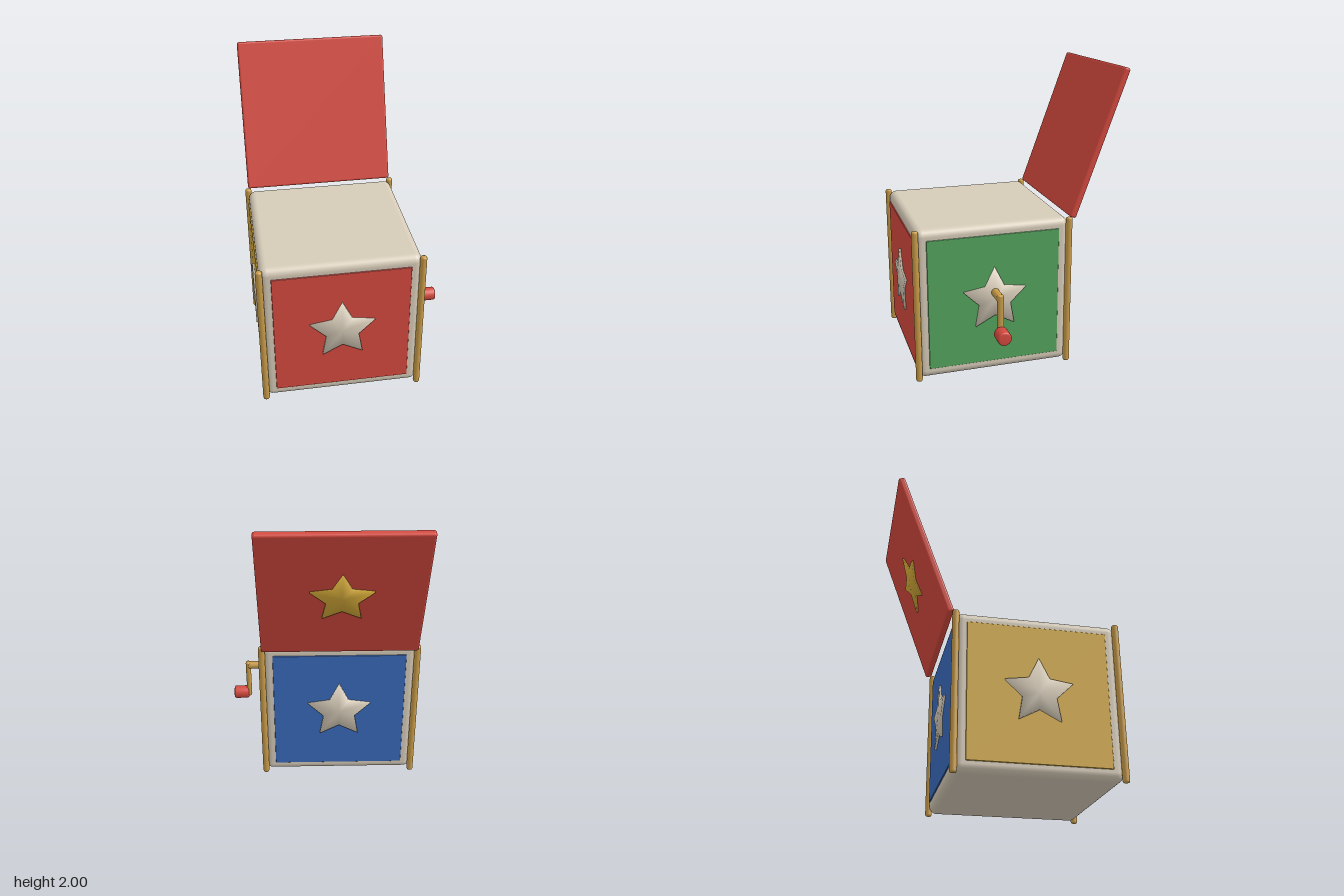
import * as THREE from 'three';
import { RoundedBoxGeometry } from 'three/addons/geometries/RoundedBoxGeometry.js';

const mat = (name, color) => Object.assign(new THREE.MeshStandardMaterial({ color }), { name });

// Five-pointed star plate facing +z, with normals rolling softly off the rim
function starGeometry(radius, depth) {
  const pos = [0, 0, depth], nor = [0, 0, 1], idx = [];
  for (let i = 0; i < 10; i++) {
    const a = Math.PI / 2 + i * Math.PI / 5, r = i % 2 ? radius * 0.5 : radius;
    const c = Math.cos(a), s = Math.sin(a);
    pos.push(c * r, s * r, depth, c * r, s * r, 0);
    nor.push(c * 0.7, s * 0.7, 0.71, c * 0.8, s * 0.8, 0.6);
    const t = 1 + i * 2, n = 1 + ((i + 1) % 10) * 2;
    idx.push(0, t, n, t, t + 1, n, n, t + 1, n + 1);
  }
  const g = new THREE.BufferGeometry();
  g.setAttribute('position', new THREE.Float32BufferAttribute(pos, 3));
  g.setAttribute('normal', new THREE.Float32BufferAttribute(nor, 3));
  g.setIndex(idx);
  return g;
}

// Upright rod with bevelled ends, centred on its origin
function rodGeometry(radius, length, bevel) {
  const h = length / 2;
  const profile = [
    [0, -h], [radius - bevel, -h], [radius - bevel * 0.3, -h + bevel * 0.3], [radius, -h + bevel],
    [radius, h - bevel], [radius - bevel * 0.3, h - bevel * 0.3], [radius - bevel, h], [0, h],
  ].map(([x, y]) => new THREE.Vector2(x, y));
  return new THREE.LatheGeometry(profile, 24);
}

export function createModel() {
  const cream = mat('cream', 0xd6cbb8);
  const red = mat('red', 0xd4493e);
  const green = mat('green', 0x54a45c);
  const blue = mat('blue', 0x3a6abb);
  const yellow = mat('yellow', 0xd3a938);
  const brass = mat('brass', 0xc89b48);

  const model = new THREE.Group();
  model.name = 'toyBox';
  const add = (parent, name, geometry, material, x = 0, y = 0, z = 0) => {
    const m = new THREE.Mesh(geometry, material);
    m.name = name;
    m.position.set(x, y, z);
    parent.add(m);
    return m;
  };

  // Box, offset to leave room for the crank and the open lid
  const half = 0.515;
  const box = new THREE.Group();
  box.name = 'box';
  box.position.set(-0.113, 0.522, 0.188);
  model.add(box);
  add(box, 'body', new RoundedBoxGeometry(1.03, 1.026, 1.03, 4, 0.05), cream);

  // Four walls, each with a coloured panel and a star
  const panelGeo = new RoundedBoxGeometry(0.888, 0.888, 0.02, 2, 0.004);
  const wallStar = starGeometry(0.223, 0.016);
  [['front', red], ['left', green], ['back', blue], ['right', yellow]].forEach(([side, colour], i) => {
    const wall = new THREE.Group();
    wall.name = side + 'Wall';
    wall.rotation.y = i * Math.PI / 2;
    box.add(wall);
    add(wall, side + 'Panel', panelGeo, colour, 0, 0, half - 0.002);
    add(wall, side + 'Star', wallStar, cream, 0, 0.005, half + 0.006);
  });

  // Corner posts
  const postGeo = rodGeometry(0.022, 1.038, 0.012);
  for (const x of [-half, half])
    for (const z of [-half, half]) add(box, 'cornerPost', postGeo, brass, x, -0.003, z);

  // Open lid, tilted back
  const lid = new THREE.Group();
  lid.name = 'lid';
  lid.position.set(-0.113, 1.513, -0.531);
  lid.rotation.x = -THREE.MathUtils.degToRad(20);
  model.add(lid);
  add(lid, 'lidBoard', new RoundedBoxGeometry(1.03, 1.03, 0.046, 3, 0.015), red);
  add(lid, 'lidStar', starGeometry(0.207, 0.013), yellow, 0, 0, -0.0225).rotation.y = Math.PI;

  // Crank on the left wall
  const crank = new THREE.Group();
  crank.name = 'crank';
  crank.position.set(0, 0, 0.187);
  model.add(crank);
  add(crank, 'crankAxle', rodGeometry(0.027, 0.15, 0.01), brass, 0.465, 0.577).rotation.z = Math.PI / 2;
  add(crank, 'crankArm', rodGeometry(0.023, 0.29, 0.01), brass, 0.537, 0.459).scale.x = 0.8;
  add(crank, 'crankKnob', rodGeometry(0.047, 0.108, 0.012), red, 0.594, 0.34).rotation.z = Math.PI / 2;

  return model;
}
